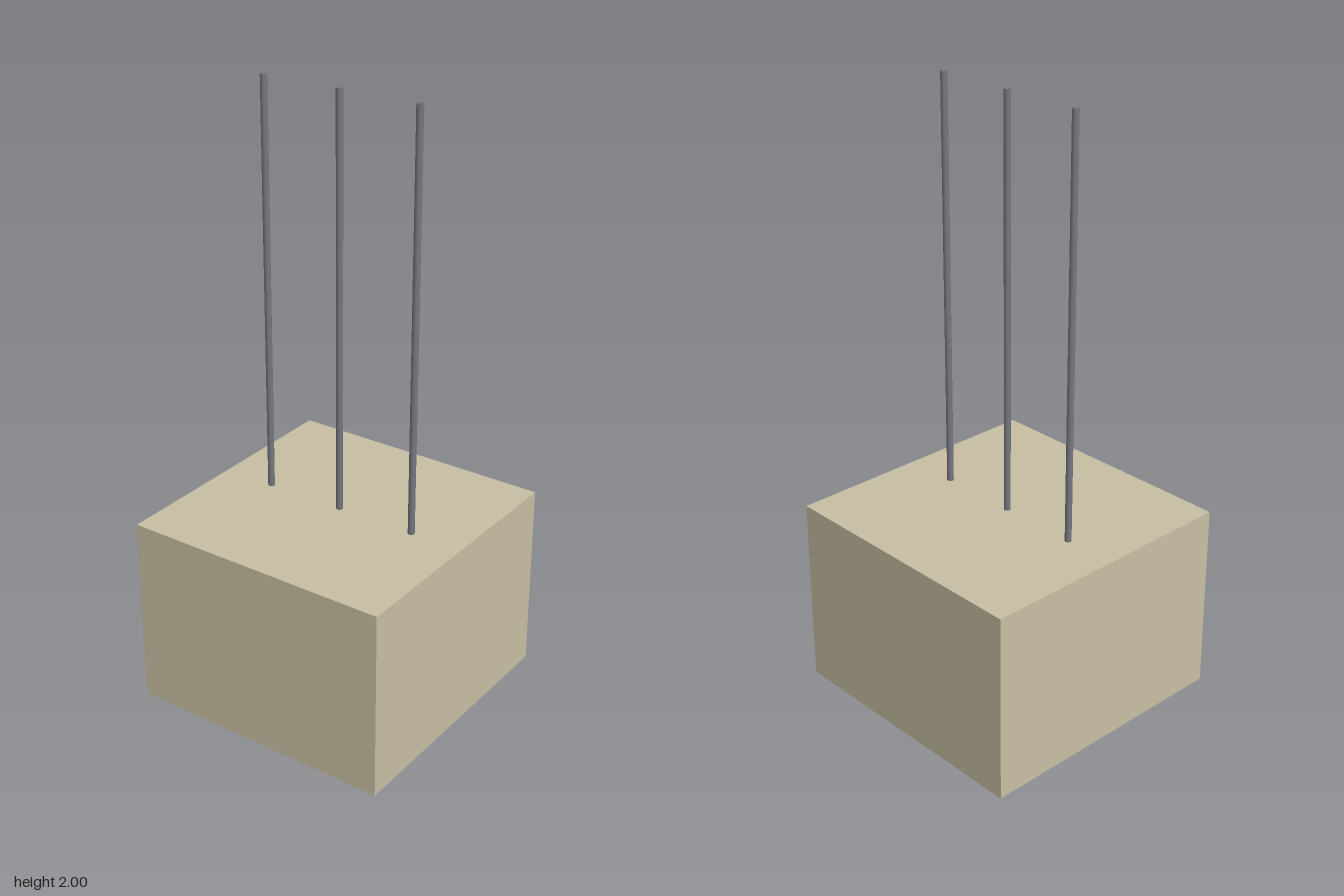
import * as THREE from 'three';

const BASE_SIZE = 0.909;
const BASE_HEIGHT = 0.636;
const TOP = 2;
const ROD_RADIUS = 0.011;
const ROD_SPACING = 0.273;

export function createModel() {
  const model = new THREE.Group();
  model.name = 'blockWithRods';

  // Solid block standing on the ground
  const base = new THREE.Mesh(
    new THREE.BoxGeometry(BASE_SIZE, BASE_HEIGHT, BASE_SIZE),
    new THREE.MeshStandardMaterial({ color: 0xc8bfa3 })
  );
  base.name = 'baseBlock';
  base.position.y = BASE_HEIGHT / 2;
  model.add(base);

  // Row of three thin upright rods
  const rodLength = TOP - BASE_HEIGHT;
  const rodGeometry = new THREE.CylinderGeometry(ROD_RADIUS, ROD_RADIUS, rodLength, 12);
  const rodMaterial = new THREE.MeshStandardMaterial({ color: 0x777780 });
  const names = ['rightRod', 'middleRod', 'leftRod'];
  names.forEach((name, i) => {
    const rod = new THREE.Mesh(rodGeometry, rodMaterial);
    rod.name = name;
    rod.position.set((i - 1) * ROD_SPACING, BASE_HEIGHT + rodLength / 2, 0);
    model.add(rod);
  });

  return model;
}
